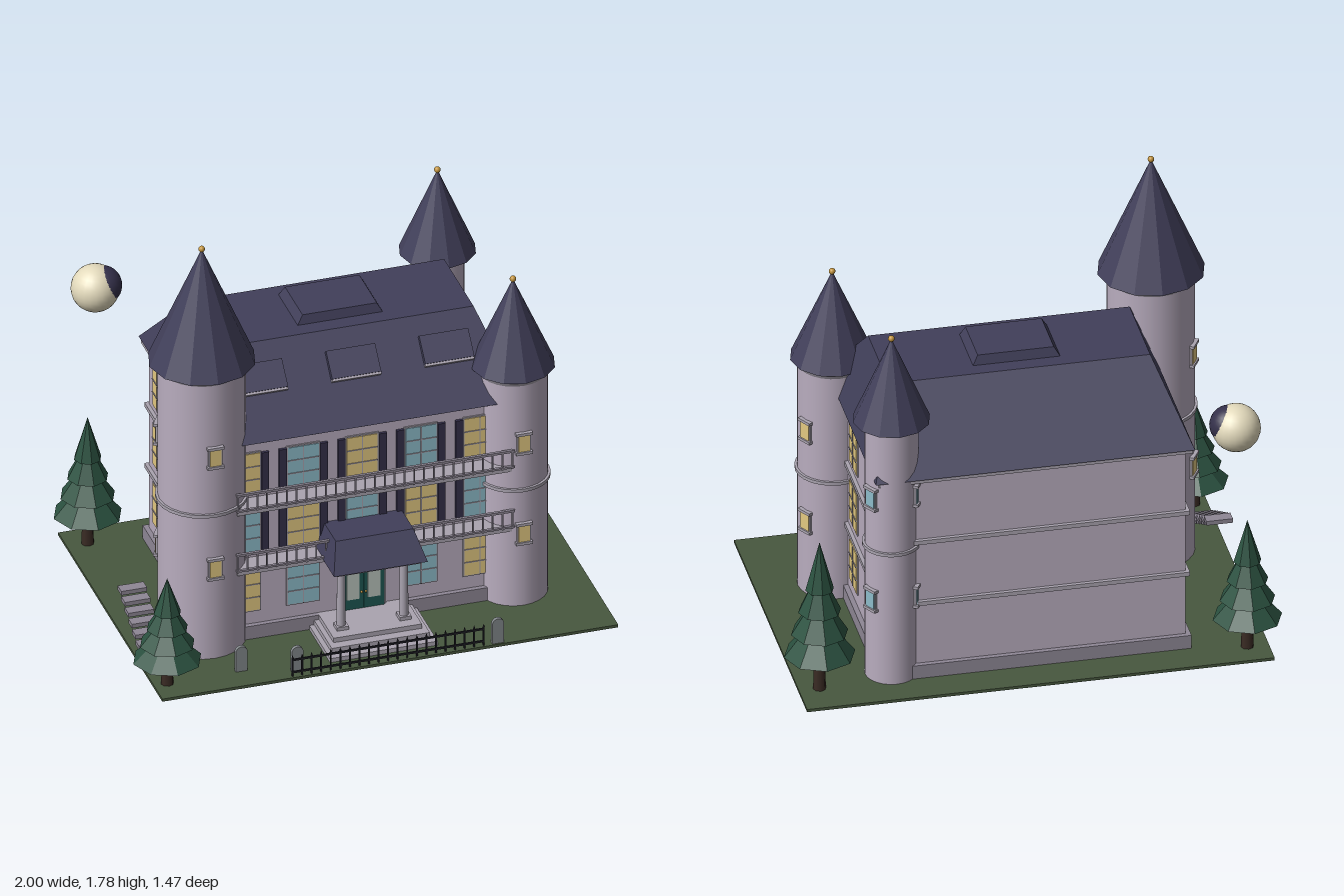
import * as THREE from 'three';

const COLORS = {
  wall: 0xb9adbf, trim: 0xaaa4b0, stone: 0x8f8896, roof: 0x413f5a, shutter: 0x34304a,
  amber: 0xe3c981, blue: 0x8dbccb, door: 0x1d5853, pane: 0xb9c4bd, lawn: 0x48583f,
  leaf: 0x2b5140, trunk: 0x3a2b24, gold: 0xc4953c, moon: 0xe4dbbd, iron: 0x1d1d24, grave: 0x82878a,
};
const mats = {};
function mat(color, flat = false) {
  const key = color + flat;
  return (mats[key] ??= new THREE.MeshStandardMaterial({ color: COLORS[color], flatShading: flat }));
}
function add(parent, name, geo, color, x = 0, y = 0, z = 0, flat = false) {
  const m = new THREE.Mesh(geo, mat(color, flat));
  m.name = name;
  m.position.set(x, y, z);
  parent.add(m);
  return m;
}
// box given by its limits
function block(parent, name, color, x0, x1, y0, y1, z0, z1) {
  return add(parent, name, new THREE.BoxGeometry(x1 - x0, y1 - y0, z1 - z0), color,
    (x0 + x1) / 2, (y0 + y1) / 2, (z0 + z1) / 2);
}
// tapered block between a bottom and a top rectangle [x0, x1, z0, z1]
function frustum(parent, name, color, bottom, y0, top, y1) {
  const geo = new THREE.BoxGeometry(1, 1, 1);
  const p = geo.attributes.position;
  for (let i = 0; i < p.count; i++) {
    const r = p.getY(i) > 0 ? top : bottom;
    p.setXYZ(i, p.getX(i) < 0 ? r[0] : r[1], p.getY(i) > 0 ? y1 : y0, p.getZ(i) < 0 ? r[2] : r[3]);
  }
  geo.computeVertexNormals();
  return add(parent, name, geo, color);
}
function group(parent, name, x = 0, y = 0, z = 0) {
  const g = new THREE.Group();
  g.name = name;
  g.position.set(x, y, z);
  parent.add(g);
  return g;
}

// window facing +z, centred on its group
function makeWindow(parent, x, y, z, turn, w, h, color, shutters = false) {
  const g = group(parent, 'window', x, y, z);
  g.rotation.y = turn;
  block(g, 'windowFrame', 'trim', -w / 2 - 0.006, w / 2 + 0.006, -h / 2 - 0.006, h / 2 + 0.006, -0.012, 0.005);
  block(g, 'windowPane', color, -w / 2, w / 2, -h / 2, h / 2, 0, 0.008);
  if (w > 0.1) {
    block(g, 'mullion', 'trim', -0.002, 0.002, -h / 2, h / 2, 0, 0.011);
    for (const k of [-1, 1]) block(g, 'glazingBar', 'trim', -w / 2, w / 2, k * h / 6 - 0.002, k * h / 6 + 0.002, 0, 0.011);
  } else {
    for (const k of [-1, 1]) block(g, 'sill', 'trim', -w / 2 - 0.011, w / 2 + 0.011, k * h / 2 - 0.006, k * h / 2 + 0.006, -0.012, 0.014);
  }
  if (shutters) for (const k of [-1, 1])
    block(g, 'shutter', 'shutter', k * 0.084 - 0.015, k * 0.084 + 0.015, -h / 2, h / 2, -0.005, 0.012);
}

function makeTower(parent, name, x, z, r, h, roofR, top, color) {
  const g = group(parent, name, x, 0, z);
  add(g, 'towerWall', new THREE.CylinderGeometry(r, r, h - 0.01, 24), 'wall', 0, (h + 0.01) / 2, 0);
  add(g, 'towerBand', new THREE.CylinderGeometry(r + 0.01, r + 0.01, 0.014, 24), 'trim', 0, h * 0.52, 0);
  add(g, 'towerCornice', new THREE.CylinderGeometry(r + 0.015, r, 0.03, 24), 'trim', 0, h - 0.012, 0);
  add(g, 'towerRoof', new THREE.ConeGeometry(roofR, top - h, 12), 'roof', 0, (top + h) / 2, 0, true);
  add(g, 'finial', new THREE.SphereGeometry(0.013, 12, 8), 'gold', 0, top, 0);
  for (let i = 0; i < 3; i++) {
    const a = i * Math.PI * 2 / 3;
    for (const f of [0.33, 0.725])
      makeWindow(g, Math.sin(a) * r, h * f, Math.cos(a) * r, a, 0.045, 0.085, color);
  }
}

function makeTree(parent, x, z, h, r) {
  const g = group(parent, 'pineTree', x, 0, z);
  const base = h * 0.25;
  add(g, 'trunk', new THREE.CylinderGeometry(0.02, 0.026, base + 0.04, 8), 'trunk', 0, (base + 0.04) / 2, 0);
  for (let i = 0; i < 4; i++) {
    const y0 = base + i * h * 0.145, y1 = i === 3 ? h : y0 + h * 0.28;
    add(g, 'foliage', new THREE.ConeGeometry(r * (1 - i * 0.2), y1 - y0, 8), 'leaf', 0, (y0 + y1) / 2, 0, true);
  }
}

export function createModel() {
  const model = new THREE.Group();
  model.name = 'mansion';
  block(model, 'lawn', 'lawn', -0.92, 0.94, 0, 0.012, -0.63, 0.7);

  // main house: walls, plinth, string courses and cornice
  const house = group(model, 'house');
  const X = 0.6, ZB = -0.47, ZF = 0.35;
  block(house, 'walls', 'wall', -X, X, 0.01, 0.92, ZB, ZF);
  const bands = [['plinth', 'stone', 0.01, 0.07, 0.02], ['stringCourse', 'trim', 0.335, 0.353, 0.015],
    ['stringCourse', 'trim', 0.61, 0.628, 0.015], ['cornice', 'trim', 0.893, 0.918, 0.025]];
  for (const [n, c, y0, y1, o] of bands) block(house, n, c, -X - o, X + o, y0, y1, ZB - o, ZF + o);

  // roof with rooftop platform and dormers
  frustum(house, 'mainRoof', 'roof', [-0.63, 0.64, -0.51, 0.41], 0.915, [-0.51, 0.53, -0.24, 0.135], 1.207);
  frustum(house, 'roofPlatform', 'roof', [-0.17, 0.185, -0.18, 0.07], 1.2, [-0.143, 0.16, -0.165, 0.058], 1.245);
  for (const x of [-0.375, 0.005, 0.385]) {
    const d = group(house, 'dormer', x, 1.105, 0.24);
    d.rotation.x = -Math.PI / 4;
    block(d, 'dormerPanel', 'roof', -0.1, 0.1, -0.055, 0.06, -0.03, 0.014);
    block(d, 'dormerSill', 'trim', -0.1, 0.1, -0.064, -0.055, -0.02, 0.01);
  }

  // windows alternate in colour
  const floors = [0.22, 0.487, 0.752];
  floors.forEach((y, f) => {
    for (let i = 0; i < 5; i++) {
      if (f === 0 && i === 2) continue;
      makeWindow(house, 0.005 + (i - 2) * 0.24, y, ZF, 0, 0.125, 0.175, (i + f) % 2 ? 'blue' : 'amber', f > 0);
    }
    for (const s of [-1, 1]) [0.06, -0.34].forEach((z, i) =>
      makeWindow(house, s * X, y, z, s * Math.PI / 2, 0.125, 0.175, (s > 0) === (i === 0) ? 'amber' : 'blue'));
  });

  // balconies with railings
  for (const y of [0.35, 0.62]) {
    const b = group(house, 'balcony', 0, y, 0);
    block(b, 'balconySlab', 'trim', -0.53, 0.59, 0, 0.02, ZF - 0.01, 0.44);
    block(b, 'handrail', 'stone', -0.535, 0.6, 0.09, 0.1, 0.437, 0.449);
    block(b, 'lowerRail', 'stone', -0.535, 0.6, 0.02, 0.028, 0.437, 0.449);
    for (let i = 0; i <= 28; i++) {
      const x = -0.53 + i * 0.04;
      block(b, 'baluster', 'stone', x - 0.003, x + 0.003, 0.015, 0.092, 0.44, 0.446);
    }
  }

  // entrance porch
  const porch = group(model, 'porch');
  for (let i = 0; i < 3; i++)
    block(porch, 'step', 'trim', -0.215 + i * 0.02, 0.225 - i * 0.02, 0.01 + i * 0.02, 0.03 + i * 0.02, ZF, 0.635 - i * 0.04);
  for (const x of [-0.122, 0.134]) {
    add(porch, 'column', new THREE.CylinderGeometry(0.016, 0.018, 0.29, 16), 'trim', x, 0.21, 0.485);
    block(porch, 'columnBase', 'trim', x - 0.024, x + 0.024, 0.065, 0.085, 0.461, 0.509);
    block(porch, 'columnCap', 'trim', x - 0.024, x + 0.024, 0.335, 0.355, 0.461, 0.509);
  }
  block(porch, 'porchBeam', 'trim', -0.165, 0.18, 0.35, 0.368, ZF, 0.565);
  frustum(porch, 'porchRoof', 'roof', [-0.183, 0.2, ZF, 0.585], 0.365, [-0.15, 0.167, ZF, 0.505], 0.475);

  // double door
  block(porch, 'doorFrame', 'trim', -0.088, 0.102, 0.07, 0.26, ZF, ZF + 0.01);
  for (const s of [-1, 1]) {
    const d = group(porch, 'doorLeaf', 0.007 + s * 0.043, 0.16, ZF + 0.012);
    block(d, 'doorPanel', 'door', -0.042, 0.042, -0.09, 0.09, -0.012, 0.006);
    block(d, 'doorPane', 'pane', -0.026, 0.026, -0.045, 0.07, 0, 0.009);
    add(d, 'doorKnob', new THREE.SphereGeometry(0.005, 8, 6), 'gold', -s * 0.034, -0.015, 0.01);
  }

  // corner towers
  makeTower(model, 'frontRightTower', -0.63, 0.295, 0.172, 1.27, 0.213, 1.765, 'amber');
  makeTower(model, 'frontLeftTower', 0.635, 0.31, 0.137, 1.03, 0.167, 1.41, 'amber');
  makeTower(model, 'backLeftTower', 0.557, -0.41, 0.105, 1.15, 0.153, 1.51, 'blue');

  // open side stair
  const stair = group(model, 'sideStair');
  for (let i = 0; i < 8; i++) {
    const y = 0.025 + i * 0.024, z = 0.47 - i * 0.045;
    block(stair, 'tread', 'stone', -0.92, -0.815, y - 0.009, y + 0.009, z - 0.025, z + 0.022);
  }

  // trees
  makeTree(model, -0.865, 0.59, 0.485, 0.138);
  makeTree(model, -0.835, -0.52, 0.58, 0.138);
  makeTree(model, 0.858, -0.48, 0.67, 0.142);

  // iron fence
  const fence = group(model, 'fence', 0.005, 0, 0.688);
  for (const y of [0.03, 0.085]) block(fence, 'fenceRail', 'iron', -0.39, 0.39, y - 0.004, y + 0.004, -0.003, 0.003);
  for (let i = 0; i <= 20; i++) {
    const x = -0.39 + i * 0.039;
    block(fence, 'fenceBar', 'iron', x - 0.003, x + 0.003, 0.01, 0.093, -0.003, 0.003);
    add(fence, 'fenceSpike', new THREE.ConeGeometry(0.005, 0.016, 4), 'iron', x, 0.1, 0, true);
  }

  // gravestones with rounded tops
  const slab = new THREE.Shape();
  slab.moveTo(-0.024, 0).lineTo(0.024, 0).lineTo(0.024, 0.09).absarc(0, 0.09, 0.024, 0, Math.PI).lineTo(-0.024, 0);
  const stoneGeo = new THREE.ExtrudeGeometry(slab, { depth: 0.016, bevelEnabled: false, curveSegments: 10 });
  for (const [x, z] of [[-0.562, 0.585], [-0.355, 0.652], [0.453, 0.685]])
    add(model, 'gravestone', stoneGeo, 'grave', x, 0.008, z - 0.008);

  // moon with its dark side
  add(model, 'moon', new THREE.SphereGeometry(0.096, 24, 16), 'moon', -0.763, 1.08, -0.648);
  add(model, 'moonShadow', new THREE.SphereGeometry(0.078, 24, 16), 'shutter', -0.737, 1.092, -0.64);
  return model;
}
